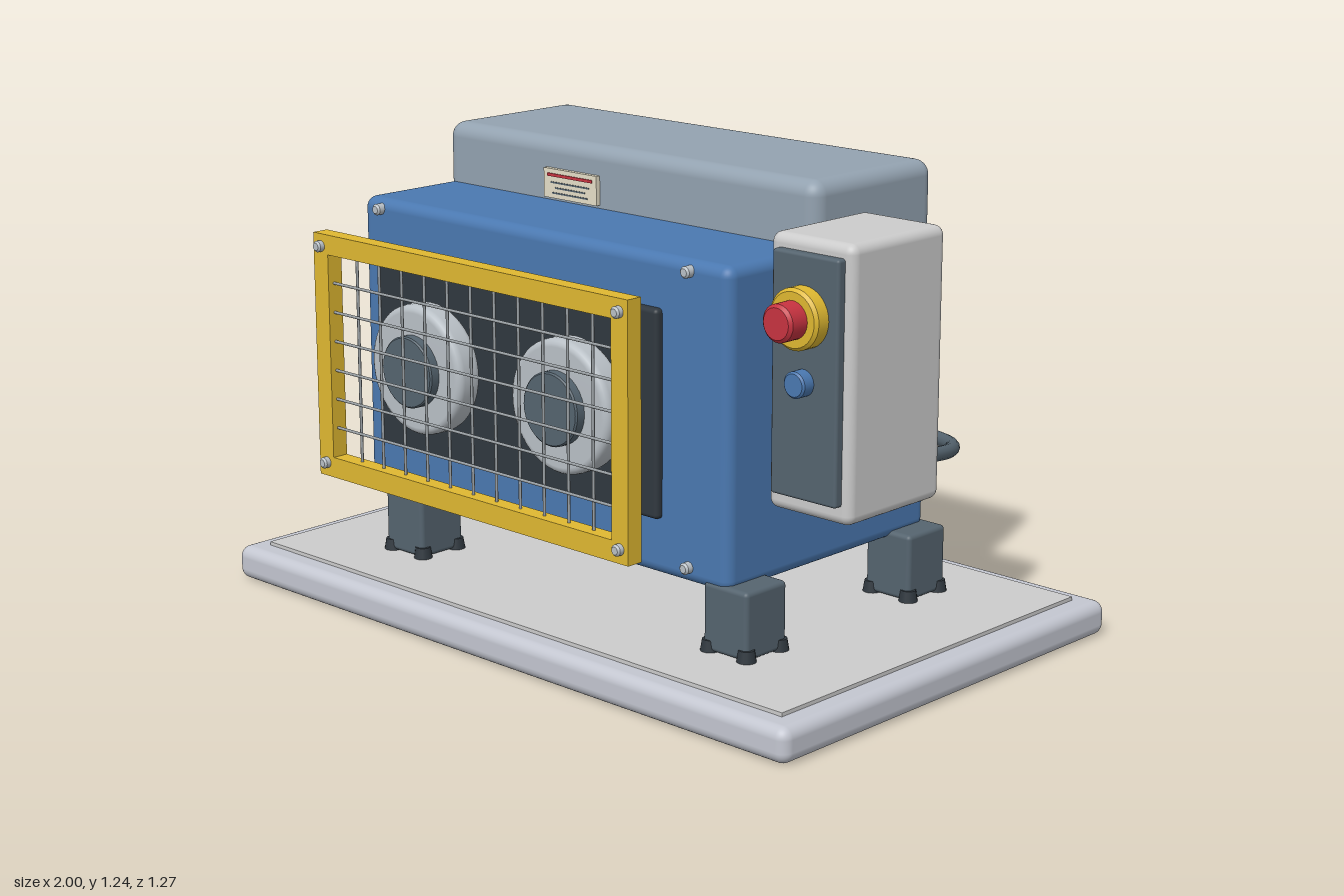
import * as THREE from 'three';
import { RoundedBoxGeometry } from 'three/addons/geometries/RoundedBoxGeometry.js';

const mat = (color) => new THREE.MeshStandardMaterial({ color });
const M = {
  blue: mat(0x4a78b0), hood: mat(0x93a2b0), steel: mat(0x55646f), dark: mat(0x30383f),
  yellow: mat(0xdfb831), red: mat(0xc73340), base: mat(0xc3c6d0), plate: mat(0xd0d2d3),
  box: mat(0xd2d5d5), light: mat(0xb9c0c6), wire: mat(0x9aa0a4), cream: mat(0xe6dfc8),
};

export function createModel() {
  const model = new THREE.Group();

  const add = (name, geo, material, x = 0, y = 0, z = 0, parent = model) => {
    const m = new THREE.Mesh(geo, material);
    m.name = name;
    m.position.set(x, y, z);
    parent.add(m);
    return m;
  };
  const group = (name) => {
    const g = new THREE.Group();
    g.name = name;
    model.add(g);
    return g;
  };
  // Box given by its limits, rounded when r > 0
  const block = (name, material, [x0, x1], [y0, y1], [z0, z1], r = 0, parent = model) => {
    const s = [x1 - x0, y1 - y0, z1 - z0];
    const geo = r ? new RoundedBoxGeometry(...s, 4, r) : new THREE.BoxGeometry(...s);
    return add(name, geo, material, (x0 + x1) / 2, (y0 + y1) / 2, (z0 + z1) / 2, parent);
  };
  // Round part along z, with a small chamfer on the front edge
  const knob = (name, material, x, y, z0, z1, r, c = 0.004, parent = model) => {
    const L = z1 - z0;
    const pts = [[0, 0], [r, 0], [r, 0], [r, L - c], [r, L - c], [r - c, L], [r - c, L], [0, L]];
    const geo = new THREE.LatheGeometry(pts.map((p) => new THREE.Vector2(...p)), 32);
    geo.rotateX(Math.PI / 2);
    return add(name, geo, material, x, y, z0, parent);
  };

  // Base slab and its top plate
  block('baseSlab', M.base, [-1, 1], [0, 0.092], [-0.635, 0.635], 0.03);
  block('basePlate', M.plate, [-0.935, 0.935], [0.08, 0.102], [-0.57, 0.57]);

  // Feet with corner lugs
  for (const x of [-0.587, 0.587]) for (const z of [-0.312, 0.312]) {
    const foot = group('foot');
    block('footBlock', M.steel, [x - 0.072, x + 0.072], [0.104, 0.28], [z - 0.074, z + 0.074], 0.012, foot);
    for (const dx of [-0.06, 0.06]) for (const dz of [-0.06, 0.06])
      add('footLug', new THREE.CylinderGeometry(0.02, 0.025, 0.03, 16), M.dark, x + dx, 0.117, z + dz, foot);
  }

  // Main housing
  block('housing', M.blue, [-0.725, 0.595], [0.26, 1.072], [-0.381, 0.384], 0.03);

  // Rear hood: rounded on top, cut flat at the bottom
  const hoodGeo = new RoundedBoxGeometry(1.324, 0.37, 0.46, 5, 0.04);
  const p = hoodGeo.attributes.position;
  for (let i = 0; i < p.count; i++) p.setY(i, Math.max(0, p.getY(i)));
  add('hood', hoodGeo, M.hood, -0.065, 1.05, -0.153);

  // Data plate on the hood
  const tag = group('dataPlate');
  block('plateBody', M.cream, [-0.335, -0.14], [1.08, 1.158], [0.074, 0.09], 0, tag);
  block('plateBar', M.red, [-0.32, -0.155], [1.138, 1.146], [0.088, 0.093], 0, tag);
  for (const [y, w] of [[1.122, 0.07], [1.108, 0.055], [1.094, 0.065]])
    block('plateLine', M.steel, [-0.237 - w, -0.237 + w], [y - 0.002, y + 0.002], [0.088, 0.092], 0, tag);

  // Front panel and the two rollers
  block('frontPanel', M.dark, [-0.65, 0.376], [0.408, 0.94], [0.37, 0.404], 0.012);
  for (const x of [-0.405, 0.125]) {
    const roller = group('roller');
    knob('rollerShaft', M.steel, x, 0.667, 0.4, 0.44, 0.06, 0.002, roller);
    const arc = (z, s) => [0, 1, 2, 3, 4].map((k) => {
      const a = (k / 4) * (Math.PI / 2), t = s > 0 ? a : Math.PI / 2 - a;
      return new THREE.Vector2(0.153 + 0.02 * Math.cos(t), z + s * 0.02 * Math.sin(t));
    });
    const rim = [new THREE.Vector2(0, 0), ...arc(0.02, -1), ...arc(0.058, 1), new THREE.Vector2(0, 0.078)];
    const geo = new THREE.LatheGeometry(rim, 48);
    geo.rotateX(Math.PI / 2);
    add('rollerDisc', geo, M.light, x, 0.667, 0.418, roller);
    knob('rollerHub', M.steel, x, 0.667, 0.49, 0.524, 0.095, 0.004, roller);
  }

  // Guard: frame with opening, wire mesh and bolts
  const guard = group('guard');
  const rect = (S, x0, x1, y0, y1) => {
    const s = new S();
    s.moveTo(x0, y0); s.lineTo(x1, y0); s.lineTo(x1, y1); s.lineTo(x0, y1); s.closePath();
    return s;
  };
  const frame = rect(THREE.Shape, -0.706, 0.442, 0.345, 1.003);
  frame.holes.push(rect(THREE.Path, -0.65, 0.386, 0.4, 0.95));
  add('guardFrame', new THREE.ExtrudeGeometry(frame, { depth: 0.046, bevelEnabled: false }),
    M.yellow, 0, 0, 0.526, guard);
  const wire = (len, x, y, z, horizontal) => {
    const w = add('guardWire', new THREE.CylinderGeometry(0.004, 0.004, len, 8), M.wire, x, y, z, guard);
    if (horizontal) w.rotation.z = Math.PI / 2;
  };
  for (let i = 1; i < 12; i++) wire(0.56, -0.65 + (i * 1.036) / 12, 0.675, 0.546);
  for (let i = 1; i < 7; i++) wire(1.046, -0.132, 0.4 + (i * 0.55) / 7, 0.553, true);
  for (const x of [-0.677, 0.413]) for (const y of [0.382, 0.97])
    knob('guardBolt', M.light, x, y, 0.568, 0.59, 0.015, 0.005, guard);
  for (const x of [-0.652, 0.465]) for (const y of [0.303, 1.045])
    knob('housingBolt', M.light, x, y, 0.37, 0.405, 0.015, 0.005);

  // Louvres on one end
  for (let i = 0; i < 8; i++) {
    const y = 0.55 + i * 0.047;
    block('louvre', M.dark, [-0.744, -0.72], [y - 0.008, y + 0.008], [-0.25, 0.108]);
  }

  // Control box with panel, emergency stop and start button
  const control = group('controlBox');
  block('controlCase', M.box, [0.61, 0.87], [0.462, 1.147], [-0.088, 0.262], 0.025, control);
  block('controlBracket', M.steel, [0.58, 0.625], [0.6, 1.0], [0.0, 0.17], 0, control);
  block('controlPanel', M.steel, [0.64, 0.846], [0.51, 1.113], [0.25, 0.285], 0.008, control);
  knob('stopCollar', M.yellow, 0.742, 0.962, 0.28, 0.328, 0.076, 0.008, control);
  knob('stopButton', M.red, 0.742, 0.962, 0.32, 0.386, 0.047, 0.008, control);
  knob('startButton', M.blue, 0.742, 0.802, 0.28, 0.322, 0.033, 0.005, control);

  // Cable looping behind the housing
  const path = new THREE.CatmullRomCurve3([
    [0.725, 0.53, -0.08], [0.715, 0.51, -0.22], [0.68, 0.488, -0.37], [0.6, 0.473, -0.465],
    [0.4, 0.467, -0.525], [0.05, 0.478, -0.55], [-0.3, 0.51, -0.555], [-0.55, 0.56, -0.555],
    [-0.66, 0.64, -0.54], [-0.675, 0.76, -0.505], [-0.635, 0.9, -0.445], [-0.58, 0.99, -0.4],
  ].map((a) => new THREE.Vector3(...a)));
  add('cable', new THREE.TubeGeometry(path, 120, 0.019, 12), M.steel);
  const gland = group('cableGland');
  knob('glandBody', M.light, -0.58, 0.995, -0.42, -0.37, 0.022, 0.002, gland);
  for (let i = 0; i < 4; i++) {
    const rib = add('glandRib', new THREE.TorusGeometry(0.021, 0.004, 8, 20), M.steel, -0.58, 0.975 + i * 0.014, -0.398, gland);
    rib.rotation.x = Math.PI / 2;
  }

  return model;
}
